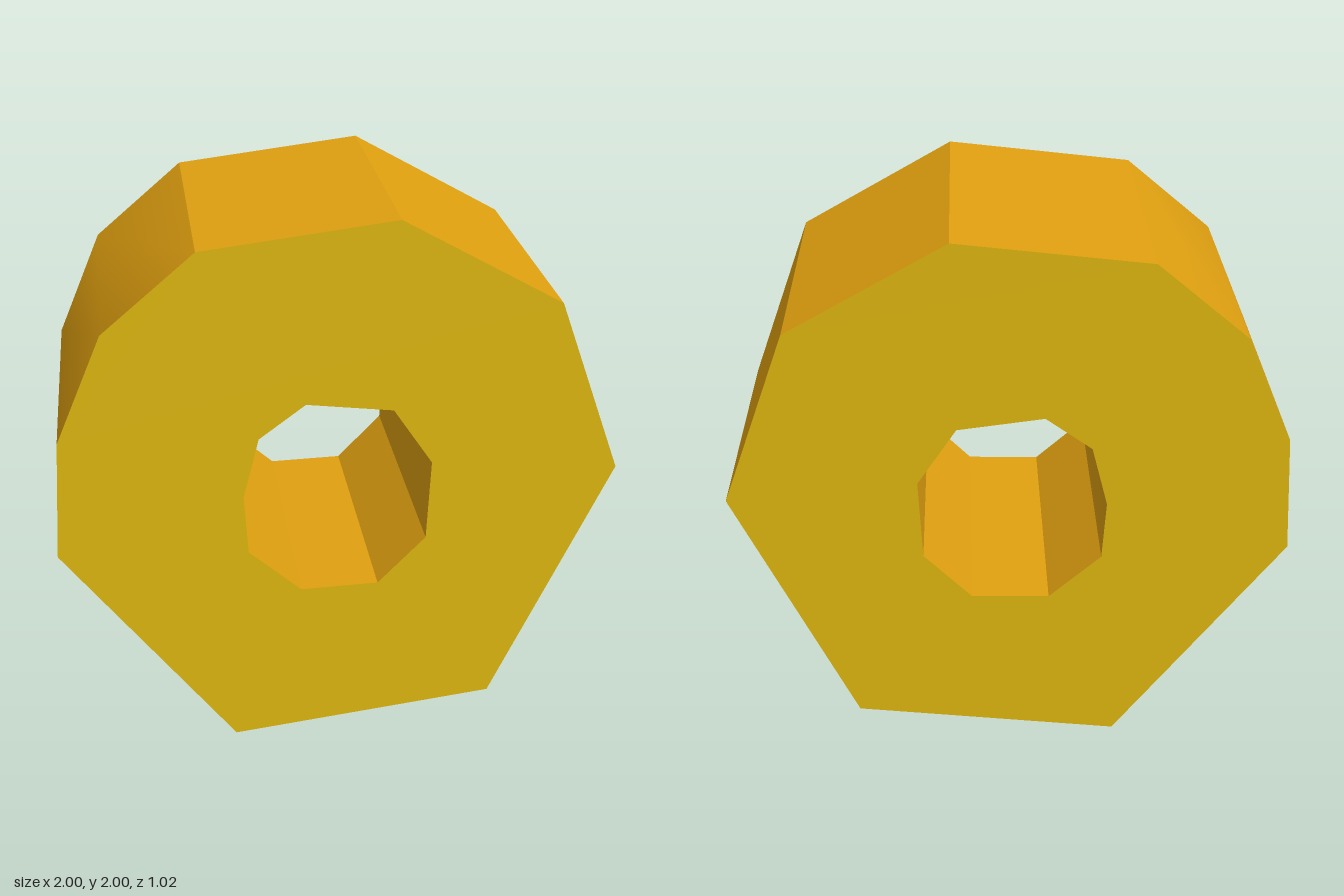
import * as THREE from 'three';
import { toCreasedNormals } from 'three/addons/utils/BufferGeometryUtils.js';

const toPoints = (pairs) => pairs.map(([x, y]) => new THREE.Vector2(x, y));

export function createModel() {
  const faceYellow = new THREE.MeshStandardMaterial({ name: 'faceYellow', color: 0xdfb70f });
  const rimOrange = new THREE.MeshStandardMaterial({ name: 'rimOrange', color: 0xe0a010 });

  // Irregular outer outline
  const outline = new THREE.Shape(toPoints([
    [-0.39, 0], [0.57, 0.11], [1, 1.04], [0.765, 1.68], [0.2, 2],
    [-0.48, 1.92], [-0.805, 1.645], [-0.972, 1.255], [-1, 0.815],
  ]));

  // Nine-sided central hole
  outline.holes.push(new THREE.Path(toPoints([
    [-0.12, 1.352], [0.187, 1.312], [0.327, 1.1], [0.313, 0.798], [0.14, 0.62],
    [-0.14, 0.614], [-0.328, 0.783], [-0.342, 1.005], [-0.285, 1.23],
  ])));

  // Thick ring: yellow faces, orange rim and bore, smooth only across shallow edges
  const depth = 1.025;
  const extruded = new THREE.ExtrudeGeometry(outline, { depth, bevelEnabled: false });
  extruded.translate(0, 0, -depth / 2);
  const geometry = toCreasedNormals(extruded, THREE.MathUtils.degToRad(30));

  const ring = new THREE.Mesh(geometry, [faceYellow, rimOrange]);
  ring.name = 'ring';

  const model = new THREE.Group();
  model.name = 'facetedRing';
  model.add(ring);
  return model;
}
